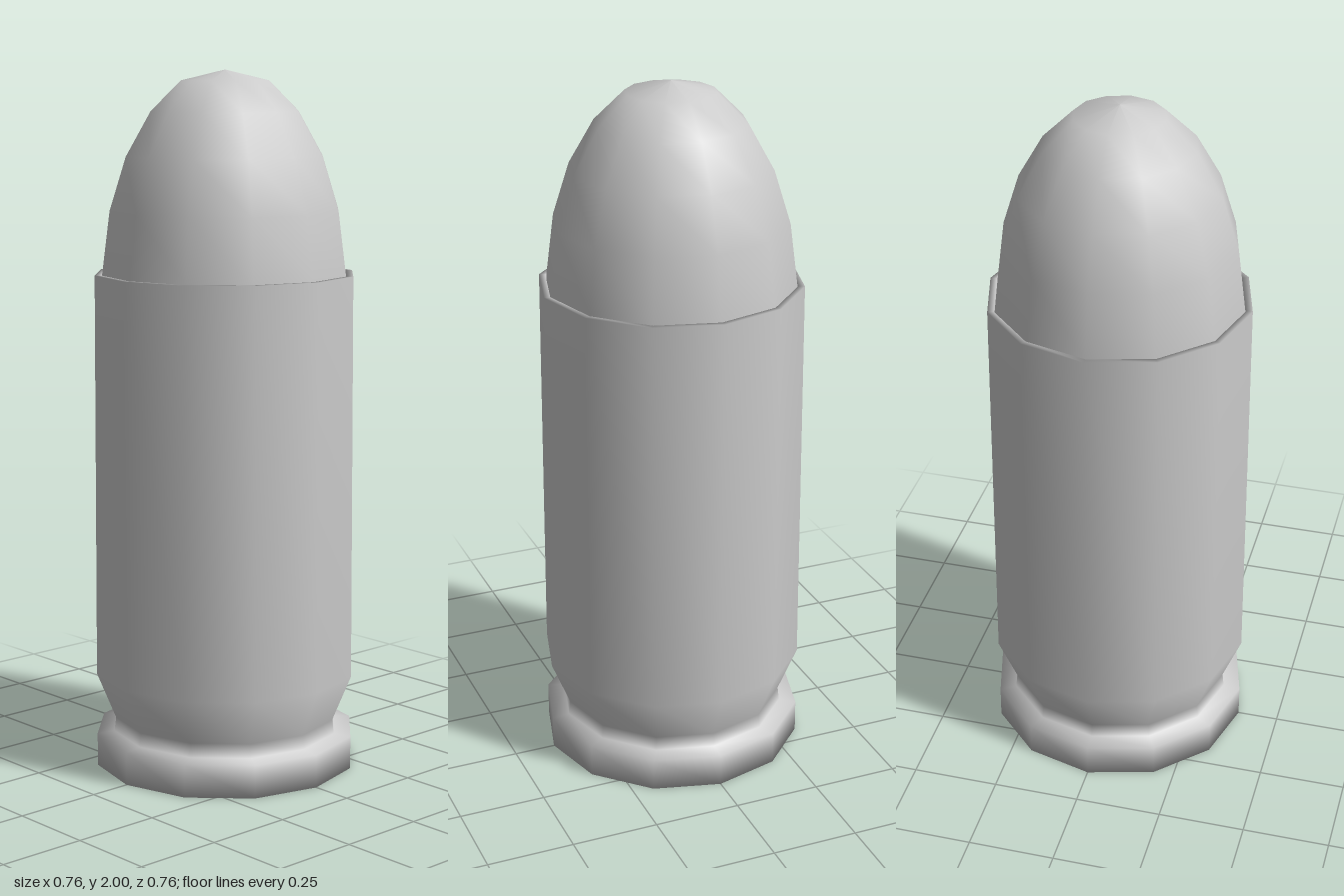
import * as THREE from 'three';

const SIDES = 12;

// Smooth twelve-sided turned part from [radius, height] points, bottom to top
function turned(name, profile) {
  const points = profile.map(([r, y]) => new THREE.Vector2(r, y));
  const material = new THREE.MeshStandardMaterial({ color: 0xcccccc, side: THREE.DoubleSide });
  const mesh = new THREE.Mesh(new THREE.LatheGeometry(points, SIDES), material);
  mesh.name = name;
  return mesh;
}

export function createModel() {
  const group = new THREE.Group();
  group.name = 'cartridge';

  // Case: base disc, extractor rim and groove, flared body, open lip
  group.add(turned('case', [
    [0, 0], [0.38, 0], [0.38, 0.095],
    [0.33, 0.1], [0.325, 0.14],
    [0.38, 0.275], [0.375, 1.43],
    [0.357, 1.43], [0.355, 1.38],
  ]));

  // Rounded bullet seated in the case mouth
  group.add(turned('bullet', [
    [0.355, 1.38], [0.354, 1.43], [0.331, 1.61], [0.284, 1.76],
    [0.213, 1.885], [0.127, 1.97], [0, 2],
  ]));

  return group;
}
